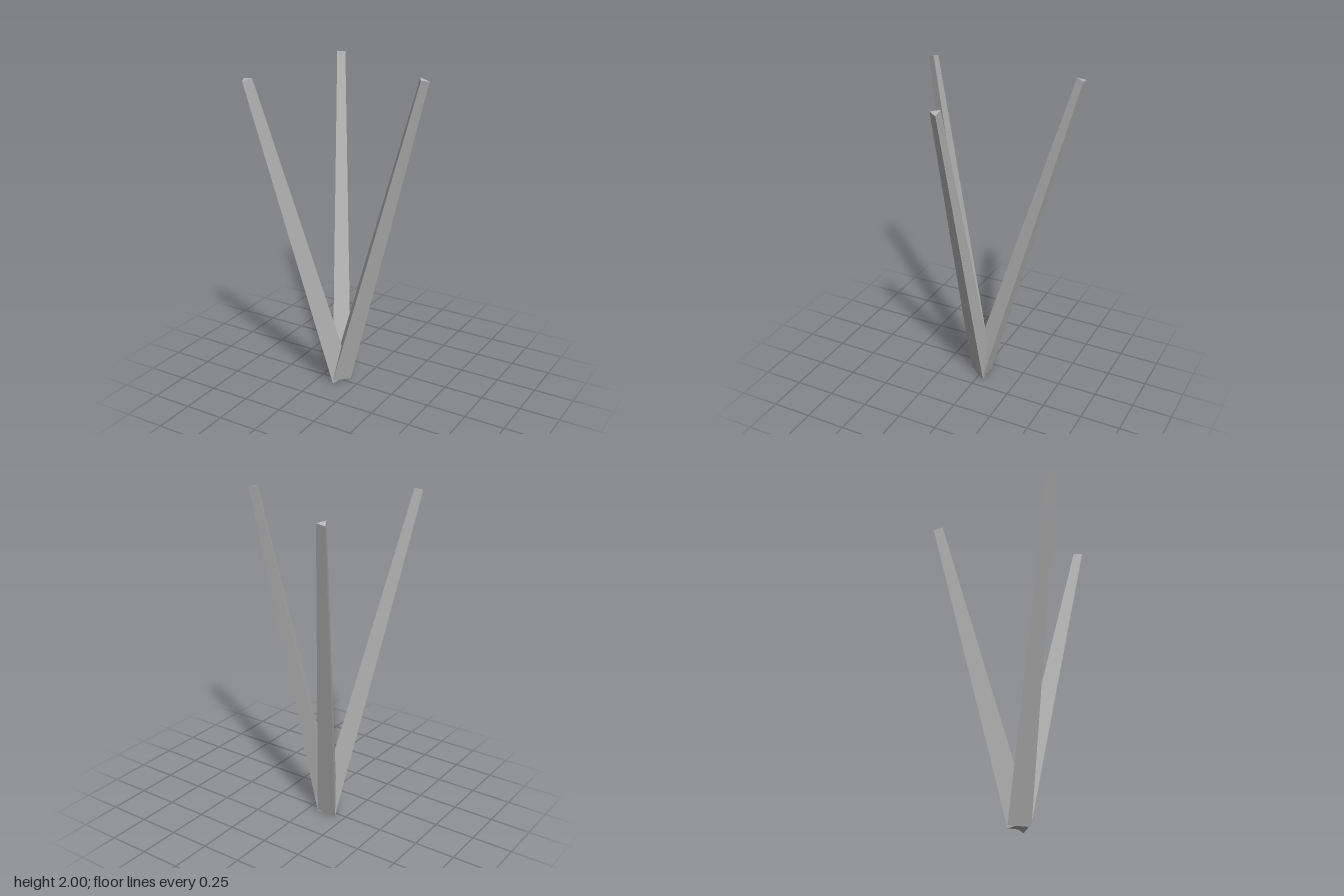
import * as THREE from 'three';

const grey = new THREE.MeshStandardMaterial({ color: 0xb4b4b4 });
grey.name = 'grey';

const FOOT = new THREE.Vector2(-0.135, -0.006); // shared foot centre (x, z)
const SPREAD = 0.552; // horizontal reach of each leg
const BOTTOM = 0.018, TOP = 1.992; // heights of the end centres
const SLOPE = SPREAD / (TOP - BOTTOM);

// Tapered three-sided bar leaning in the given direction, ends square to its axis
function leaningBar(angle) {
  const dx = Math.cos(angle), dz = Math.sin(angle);
  const geo = new THREE.CylinderGeometry(0.033, 0.076, 1, 3).toNonIndexed();
  const pos = geo.attributes.position;
  for (let i = 0; i < pos.count; i++) {
    const x = pos.getX(i), z = pos.getZ(i), t = pos.getY(i) + 0.5;
    pos.setXYZ(
      i,
      FOOT.x + x + dx * SPREAD * t,
      BOTTOM + (TOP - BOTTOM) * t - SLOPE * (x * dx + z * dz),
      FOOT.y + z + dz * SPREAD * t
    );
  }
  geo.computeVertexNormals();
  return geo;
}

export function createModel() {
  const group = new THREE.Group();
  group.name = 'threeLegStand';
  ['leftLeg', 'frontRightLeg', 'backRightLeg'].forEach((name, i) => {
    const angle = THREE.MathUtils.degToRad(0.6 + 120 * i);
    const leg = new THREE.Mesh(leaningBar(angle), grey);
    leg.name = name;
    group.add(leg);
  });
  return group;
}
